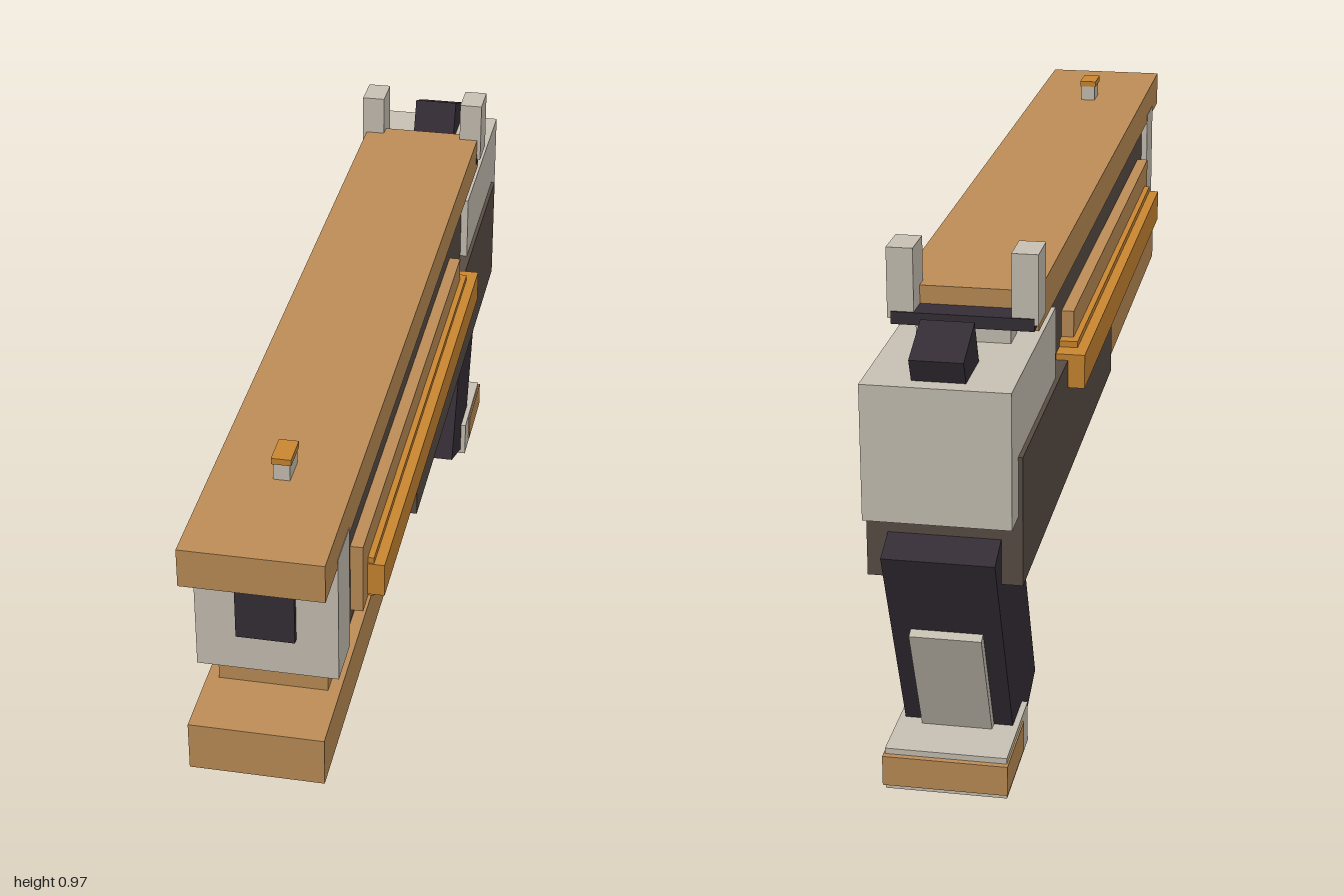
import * as THREE from 'three';

const mat = (name, color) => {
  const m = new THREE.MeshStandardMaterial({ color });
  m.name = name;
  return m;
};

export function createModel() {
  const tan = mat('tan', 0xbb8c56);
  const orange = mat('orange', 0xc88530);
  const beige = mat('beige', 0xc6bfb2);
  const brown = mat('brown', 0x584c44);
  const dark = mat('dark', 0x352d36);
  const model = new THREE.Group();
  model.name = 'blaster';

  // box given by its limits on each axis
  const box = (name, m, x0, x1, y0, y1, z0, z1, parent = model) => {
    const mesh = new THREE.Mesh(new THREE.BoxGeometry(x1 - x0, y1 - y0, z1 - z0), m);
    mesh.position.set((x0 + x1) / 2, (y0 + y1) / 2, (z0 + z1) / 2);
    mesh.name = name;
    parent.add(mesh);
    return mesh;
  };
  const mid = (name, m, halfX, ...limits) => box(name, m, -halfX, halfX, ...limits);

  // slide and barrel
  mid('topSlab', tan, 0.127, 0.818, 0.892, -0.715, 1);
  mid('upperBody', brown, 0.115, 0.58, 0.818, -0.56, 0.81);
  mid('muzzlePlate', beige, 0.128, 0.58, 0.835, 0.80, 0.90);
  mid('muzzle', dark, 0.053, 0.657, 0.77, 0.89, 0.912);
  mid('rearBlock', beige, 0.13, 0.56, 0.808, -1, -0.55);

  // frame
  mid('lowerBody', tan, 0.10, 0.51, 0.605, 0, 0.86);
  mid('lowerSlab', tan, 0.122, 0.425, 0.52, -0.66, 1);
  mid('frame', brown, 0.138, 0.43, 0.605, -0.94, 0.145);
  mid('frameRear', brown, 0.138, 0.605, 0.67, -0.94, -0.38);

  // side rails
  for (const s of [-1, 1]) {
    const rail = (name, m, x, ...limits) =>
      box(name, m, Math.min(s * 0.1, s * x), Math.max(s * 0.1, s * x), ...limits);
    rail('railBase', tan, 0.1385, 0.606, 0.746, -0.39, 0.73);
    rail('railStep', orange, 0.15, 0.61, 0.694, -0.415, 0.685);
    rail('railGrip', orange, 0.17, 0.615, 0.682, -0.455, 0.688);
    // rear sight posts
    box('rearSightPost', beige, s > 0 ? 0.087 : -0.135, s > 0 ? 0.135 : -0.087, 0.845, 0.975, -0.765, -0.688);
  }
  mid('rearSightBar', dark, 0.128, 0.835, 0.858, -0.768, -0.683);
  mid('rearSightBase', beige, 0.085, 0.80, 0.836, -0.76, -0.70);
  mid('frontSightPost', beige, 0.015, 0.885, 0.925, 0.70, 0.76);
  mid('frontSightTip', orange, 0.018, 0.924, 0.936, 0.698, 0.762);

  // hammer and grip lean back by the same angle
  const lean = -0.39;
  const hammer = mid('hammer', dark, 0.047, -0.16, 0, -0.103, 0);
  hammer.position.set(0, 0.796, -0.907);
  hammer.rotation.x = lean;

  const grip = new THREE.Group();
  grip.name = 'grip';
  grip.position.set(0, 0.2885, -0.80);
  grip.rotation.x = lean;
  model.add(grip);
  box('gripBody', dark, -0.10, 0.10, -0.2625, 0.2625, -0.108, 0.108, grip);
  box('backStrap', beige, -0.065, 0.065, -0.19, 0.085, -0.126, -0.10, grip);

  // base plate under the grip
  mid('baseSleeve', beige, 0.111, 0.016, 0.097, -0.957, -0.745);
  mid('basePad', tan, 0.114, 0.028, 0.086, -0.968, -0.80);

  // trigger guard: flat bar and slanted strut in one outline
  const outline = new THREE.Shape([
    [-0.48, 0.255], [-0.72, 0.255], [-0.72, 0.305], [-0.54, 0.305],
    [-0.485, 0.435], [-0.445, 0.435], [-0.502, 0.305], [-0.48, 0.305],
  ].map(([z, y]) => new THREE.Vector2(-z, y)));
  const guard = new THREE.Mesh(
    new THREE.ExtrudeGeometry(outline, { depth: 0.07, bevelEnabled: false }), beige);
  guard.rotation.y = Math.PI / 2;
  guard.position.x = -0.035;
  guard.name = 'triggerGuard';
  model.add(guard);

  return model;
}
